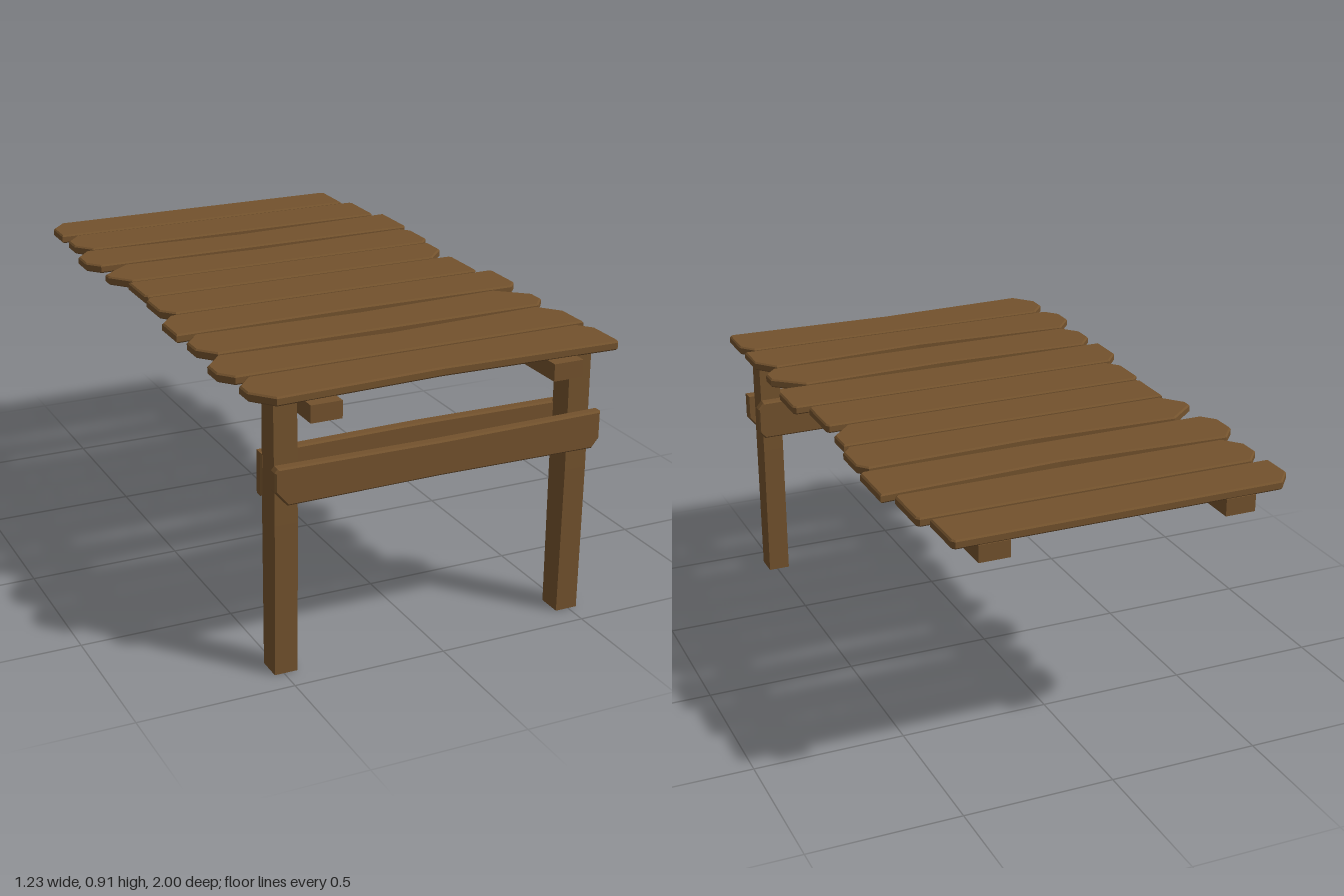
import * as THREE from 'three';

const wood = new THREE.MeshStandardMaterial({ color: 0x73522d, flatShading: true });
wood.name = 'brown wood';

// Rough-cut board: a rectangle with four chopped corners and a dip in each
// long edge, extruded with a slightly worn rim.
function boardGeometry(left, right, top, bottom, cuts, dips, thickness) {
  const [topLeft, bottomLeft, topRight, bottomRight] = cuts;
  const chop = (x, y, cut, inX, inY) => {
    if (cut === 0) return [[x, y]];
    const drop = Math.min(cut * 1.2, (top - bottom) * 0.45);
    return [[x, y + inY * drop], [x + inX * cut, y]];
  };
  const outline = [
    ...chop(left, top, topLeft, 1, -1),
    [0, top - dips[0]],
    ...chop(right, top, topRight, -1, -1).reverse(),
    ...chop(right, bottom, bottomRight, -1, 1),
    [0, bottom + dips[1]],
    ...chop(left, bottom, bottomLeft, 1, 1).reverse(),
  ];
  const bevel = 0.005;
  const shape = new THREE.Shape(outline.map(([x, y]) => new THREE.Vector2(x, y)));
  const geometry = new THREE.ExtrudeGeometry(shape, {
    depth: thickness - 2 * bevel, bevelEnabled: true, bevelSegments: 1,
    bevelThickness: bevel, bevelSize: bevel, bevelOffset: -bevel,
  });
  return geometry.translate(0, 0, bevel);
}

function addMesh(group, name, geometry) {
  const mesh = new THREE.Mesh(geometry, wood);
  mesh.name = name;
  group.add(mesh);
  return mesh;
}

// Each plank: back edge z, left x, right x, corner cuts, edge dips
const planks = [
  [-1.0, -0.59, 0.53, [0.05, 0, 0.01, 0], [0, 0]],
  [-0.82, -0.59, 0.565, [0.05, 0.05, 0.01, 0.01], [0, 0]],
  [-0.62, -0.62, 0.6, [0.05, 0.04, 0, 0.01], [0.03, 0]],
  [-0.41, -0.6, 0.59, [0.1, 0.06, 0.03, 0.03], [0.02, 0]],
  [-0.21, -0.56, 0.57, [0, 0.01, 0, 0.07], [0, 0]],
  [-0.03, -0.57, 0.565, [0.02, 0.04, 0.01, 0.01], [0, 0]],
  [0.17, -0.605, 0.612, [0.05, 0, 0.01, 0.03], [0, 0.01]],
  [0.37, -0.6, 0.6, [0.05, 0.05, 0.1, 0.04], [0.02, 0]],
  [0.575, -0.62, 0.6, [0.06, 0.04, 0.06, 0], [0.03, 0]],
  [0.78, -0.6, 0.6, [0.05, 0.06, 0.04, 0.01], [0, 0.02]],
];

export function createModel() {
  const model = new THREE.Group();
  model.name = 'woodenDock';

  // Planks laid flat, each stopping just short of the next
  const deck = new THREE.Group();
  deck.name = 'deck';
  planks.forEach(([back, left, right, cuts, dips], i) => {
    const nextBack = i < planks.length - 1 ? planks[i + 1][0] : 1;
    const front = Math.min(back + 0.189, nextBack - 0.015);
    const geometry = boardGeometry(left, right, -back, -front, cuts, dips, 0.029);
    geometry.rotateX(-Math.PI / 2);
    addMesh(deck, `plank${i + 1}`, geometry).position.y = 0.883;
  });
  model.add(deck);

  for (const [side, label] of [[1, 'left'], [-1, 'right']]) {
    // Long rail under the deck
    addMesh(model, `${label}Rail`, new THREE.BoxGeometry(0.1, 0.055, 2))
      .position.set(side * 0.4, 0.857, 0);

    // Post, slightly swollen above mid height
    const post = new THREE.BoxGeometry(0.075, 0.887, 0.082, 1, 2, 1);
    const p = post.attributes.position;
    for (let i = 0; i < p.count; i++) {
      if (Math.abs(p.getY(i)) < 0.01) p.setXYZ(i, p.getX(i) * 0.98, 0.05, p.getZ(i) * 1.12);
    }
    addMesh(model, `${label}Post`, post).position.set(side * 0.4925, 0.4435, 0.878);
  }

  // Crossboards clamping the posts from both sides
  const frontBoard = boardGeometry(-0.54, 0.555, 0.685, 0.565, [0.01, 0.04, 0, 0.025], [0.004, 0.005], 0.035);
  addMesh(model, 'frontCrossboard', frontBoard).position.z = 0.919;
  const backBoard = boardGeometry(-0.535, 0.55, 0.693, 0.555, [0, 0, 0.02, 0.02], [-0.005, 0.003], 0.036);
  addMesh(model, 'backCrossboard', backBoard).position.z = 0.802;

  return model;
}
